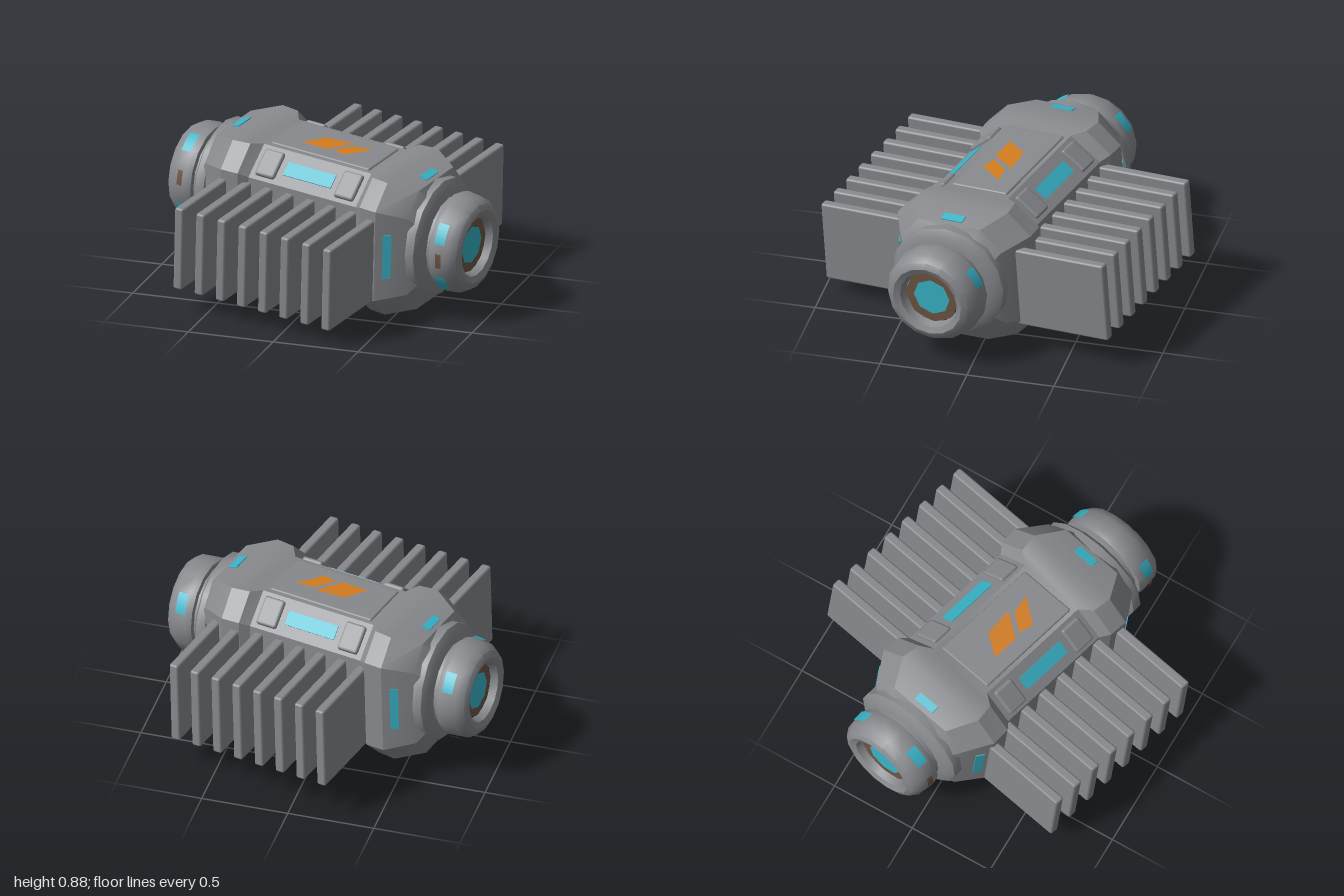
import * as THREE from 'three';
import { toCreasedNormals } from 'three/addons/utils/BufferGeometryUtils.js';
import { RoundedBoxGeometry } from 'three/addons/geometries/RoundedBoxGeometry.js';

const mat = (name, color) => {
  const m = new THREE.MeshStandardMaterial({ color });
  m.name = name;
  return m;
};

// Slightly skewed resting pose: x runs along the hull, y up, z toward the front fins
const POSE = new THREE.Matrix4().makeBasis(
  new THREE.Vector3(0.965, -0.045, 0.255),
  new THREE.Vector3(0.04, 0.998, 0.055),
  new THREE.Vector3(-0.19, -0.055, 0.98)
).setPosition(0.01, 0.447, -0.01);

// Octagonal hull lofted through sections [x, halfWidth, halfHeight, chamferWidth, chamferHeight]
function loftHull(sections) {
  const pos = [], idx = [];
  for (const [x, w, h, cw, ch] of sections) {
    const ring = [[h, w - cw], [h - ch, w], [ch - h, w], [-h, w - cw],
      [-h, cw - w], [ch - h, -w], [h - ch, -w], [h, cw - w]];
    for (const [y, z] of ring) pos.push(x, y, z);
  }
  for (let s = 0; s < sections.length - 1; s++) {
    for (let i = 0; i < 8; i++) {
      const a = s * 8 + i, b = s * 8 + (i + 1) % 8;
      idx.push(b, b + 8, a + 8, b, a + 8, a);
    }
  }
  const g = new THREE.BufferGeometry();
  g.setAttribute('position', new THREE.Float32BufferAttribute(pos, 3));
  g.setIndex(idx);
  return toCreasedNormals(g, 0.5);
}

export function createModel() {
  const group = new THREE.Group();
  const grey = mat('hull grey', 0x87898d);
  const cyan = mat('light cyan', 0x38b4c8);
  const orange = mat('marking orange', 0xd37c1e);
  const brown = mat('rust brown', 0x6e5542);

  const add = (name, geometry, material, p = [0, 0, 0], r = [0, 0, 0]) => {
    const local = new THREE.Matrix4().makeRotationFromEuler(new THREE.Euler(...r)).setPosition(...p);
    const mesh = new THREE.Mesh(geometry.applyMatrix4(local).applyMatrix4(POSE), material);
    mesh.name = name;
    group.add(mesh);
  };

  // Hull: narrower waist between two bulging end collars
  const half = [
    [0.36, 0.365, 0.385, 0.17, 0.14], [0.41, 0.405, 0.4, 0.14, 0.13],
    [0.52, 0.41, 0.4, 0.13, 0.13], [0.68, 0.31, 0.36, 0.12, 0.13], [0.73, 0.26, 0.29, 0.12, 0.12],
  ];
  const mirrored = half.map(([x, ...rest]) => [-x, ...rest]).reverse();
  add('hull', loftHull([...mirrored, ...half]), grey);

  // Top and bottom deck panels
  for (const u of [1, -1]) {
    add('deckPanel', new RoundedBoxGeometry(0.66, 0.024, 0.34, 1, 0.01), grey, [0, u * 0.383, 0]);
  }

  // Orange deck markings
  const marks = [
    [[-0.175, 0.08], [-0.09, -0.05], [0.085, -0.065], [-0.01, 0.08]],
    [[0.03, 0.07], [0.1, -0.035], [0.22, -0.06], [0.115, 0.09]],
  ];
  for (const pts of marks) {
    const shape = new THREE.Shape(pts.map(([x, z]) => new THREE.Vector2(x, -z)));
    add('deckMarking', new THREE.ShapeGeometry(shape), orange, [0, 0.399, 0], [-Math.PI / 2, 0, 0]);
  }

  // Light strips with end blocks on the four long chamfers
  const tilt = Math.atan2(0.14, 0.17);
  for (const t of [1, -1]) {
    for (const u of [1, -1]) {
      const rot = [u > 0 ? t * tilt : t * (Math.PI - tilt), 0, 0];
      const at = (x) => [x, u * 0.316, t * 0.281];
      add('chamferLight', new THREE.BoxGeometry(0.32, 0.008, 0.085), cyan, at(0), rot);
      for (const s of [1, -1]) {
        add('lightBracket', new RoundedBoxGeometry(0.13, 0.04, 0.17, 1, 0.015), grey, at(s * 0.265), rot);
      }
    }
  }

  // Cooling fins, eight on each side
  const fins = (name, t, first, step) => {
    for (let i = 0; i < 8; i++) {
      add(name, new RoundedBoxGeometry(0.056, 0.49, 0.6, 1, 0.012), grey,
        [first + i * step, -0.03, t * 0.595]);
    }
  };
  fins('frontFin', 1, -0.51, 0.142);
  fins('backFin', -1, -0.375, 0.136);

  // Round ends: flange, groove, drum and recessed glowing port
  const profile = [
    [0.66, 0], [0.66, 0.3], [0.68, 0.34], [0.735, 0.34], [0.76, 0.3], [0.77, 0.25], [0.795, 0.25],
    [0.8, 0.275], [0.835, 0.285], [0.92, 0.275], [0.965, 0.245], [0.98, 0.21], [0.965, 0.175], [0.92, 0.16],
  ].map(([x, r]) => new THREE.Vector2(r, x));
  for (const s of [1, -1]) {
    const turn = s > 0 ? 0 : Math.PI;
    const lift = [0, 0.022, 0];
    const spin = [0, turn, 0];
    const drum = new THREE.LatheGeometry(profile, 16).rotateZ(-Math.PI / 2);
    add('endDrum', toCreasedNormals(drum, 0.6), grey, lift, spin);
    add('portRing', new THREE.RingGeometry(0.1, 0.165, 8).rotateY(Math.PI / 2).translate(0.922, 0, 0),
      brown, lift, spin);
    add('portLight', new THREE.CircleGeometry(0.11, 8).rotateY(Math.PI / 2).translate(0.926, 0, 0),
      cyan, lift, spin);

    // Curved patches around the drum; angle is measured from the top toward the front
    const patch = (name, material, degrees, width, span) => {
      const phi = s * THREE.MathUtils.degToRad(degrees);
      const g = new THREE.CylinderGeometry(0.285, 0.29, width, 6, 1, true, phi - Math.PI / 2 - span / 2, span);
      add(name, g.rotateZ(-Math.PI / 2).translate(0.87, 0, 0), material, lift, spin);
    };
    for (const d of s > 0 ? [60, 125, 210, 300] : [35, 122, 210, 305]) {
      patch('drumLight', cyan, d, 0.065, 0.42);
    }
    patch('drumRust', brown, s > 0 ? 92 : 78, 0.035, 0.3);

    // Light slots on the tapered collar faces
    for (const t of [1, -1]) {
      add('collarSideLight', new THREE.BoxGeometry(0.05, 0.26, 0.009), cyan,
        [s * 0.58, 0, t * 0.3735], [0, s * t * 0.559, 0]);
      add('collarDeckLight', new THREE.BoxGeometry(0.05, 0.009, 0.13), cyan,
        [s * 0.63, t * 0.3735, 0], [0, 0, -s * t * 0.245]);
    }
  }
  return group;
}
